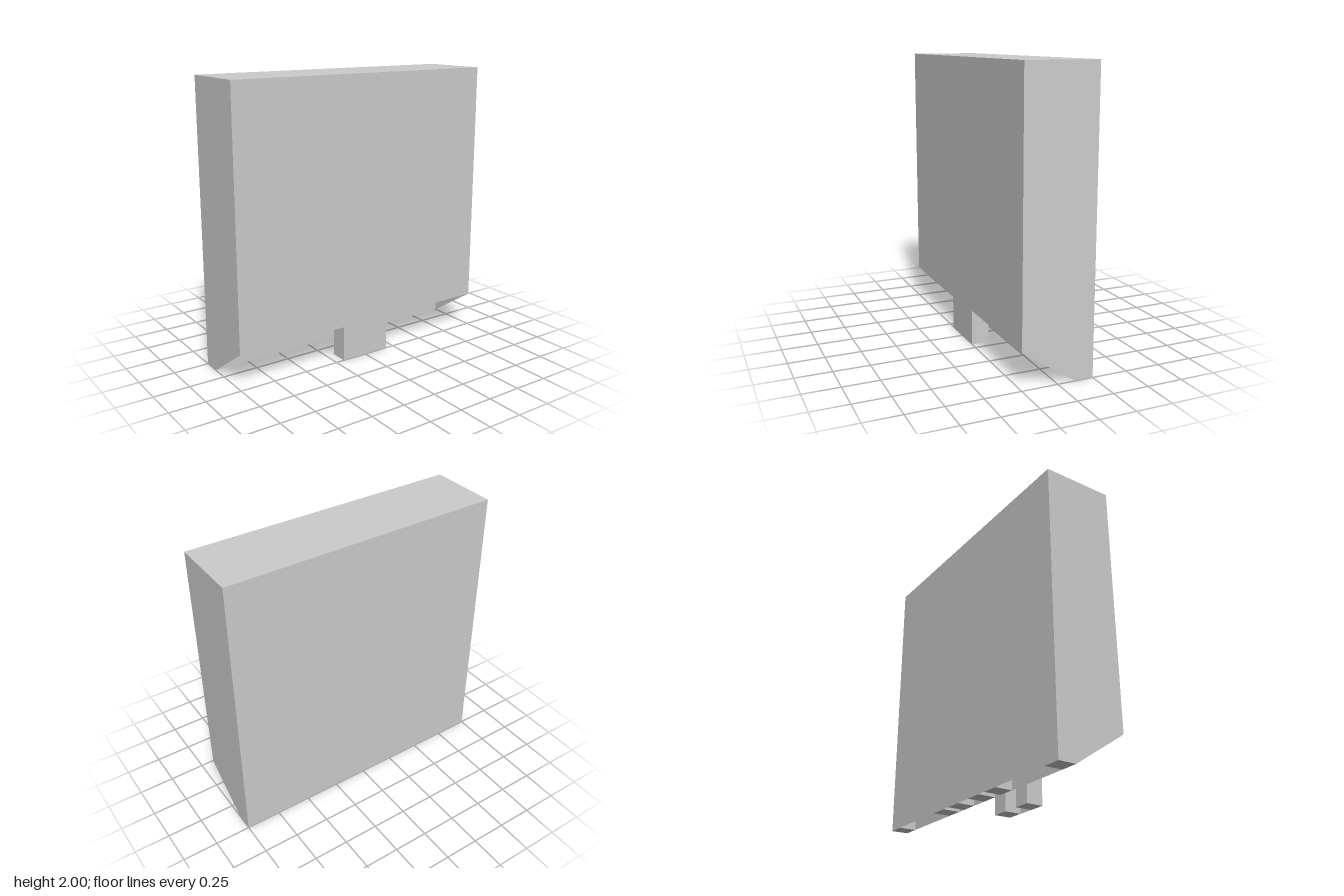
import * as THREE from 'three';

const grey = new THREE.MeshStandardMaterial({ color: 0xcccccc, flatShading: true });
const thin = new THREE.MeshStandardMaterial({ color: 0xcccccc, flatShading: true, side: THREE.DoubleSide });

const LIP = 0.25;     // height of the hollow lower edge
const BACK = -0.25;   // back face
const INNER = -0.125; // front wall of the rear channel
const FRONT = 0.25;   // front face

export function createModel() {
  const model = new THREE.Group();

  function box(name, x0, x1, y0, y1, z0, z1) {
    const mesh = new THREE.Mesh(new THREE.BoxGeometry(x1 - x0, y1 - y0, z1 - z0), grey);
    mesh.position.set((x0 + x1) / 2, (y0 + y1) / 2, (z0 + z1) / 2);
    mesh.name = name;
    model.add(mesh);
  }

  // upright sheet spanning the lower edge, centred on x
  function sheet(name, width, z) {
    const mesh = new THREE.Mesh(new THREE.PlaneGeometry(width, LIP), thin);
    mesh.position.set(0, LIP / 2, z);
    mesh.name = name;
    model.add(mesh);
  }

  // solid slab
  box('mainPanel', -1, 1, LIP, 2, BACK, FRONT);

  // thin walls of the rear channel and the front of the tab
  sheet('backSkirt', 2, BACK);
  sheet('innerSkirt', 2, INNER);
  sheet('tabFront', 0.375, FRONT);

  // triangular end cheek, drawn in (-z, y)
  const cheek = new THREE.Shape([
    new THREE.Vector2(-FRONT, LIP),
    new THREE.Vector2(-INNER, 0),
    new THREE.Vector2(-INNER, LIP),
  ]);

  for (const [side, s] of [['left', 1], ['right', -1]]) {
    const strip = (name, a, b, z0, z1) =>
      box(side + name, Math.min(s * a, s * b), Math.max(s * a, s * b), 0, LIP, z0, z1);

    // blocks that divide the rear channel into pockets
    strip('EndBlock', 0.875, 1, BACK, INNER);
    strip('OuterRib', 0.25, 0.375, BACK, INNER);
    strip('InnerRib', 0.0625, 0.1875, BACK, INNER);

    // tab leg
    strip('TabLeg', 0.0625, 0.1875, 0.125, FRONT);

    const mesh = new THREE.Mesh(new THREE.ShapeGeometry(cheek), thin);
    mesh.rotation.y = Math.PI / 2;
    mesh.position.x = s;
    mesh.name = side + 'Cheek';
    model.add(mesh);
  }

  return model;
}
